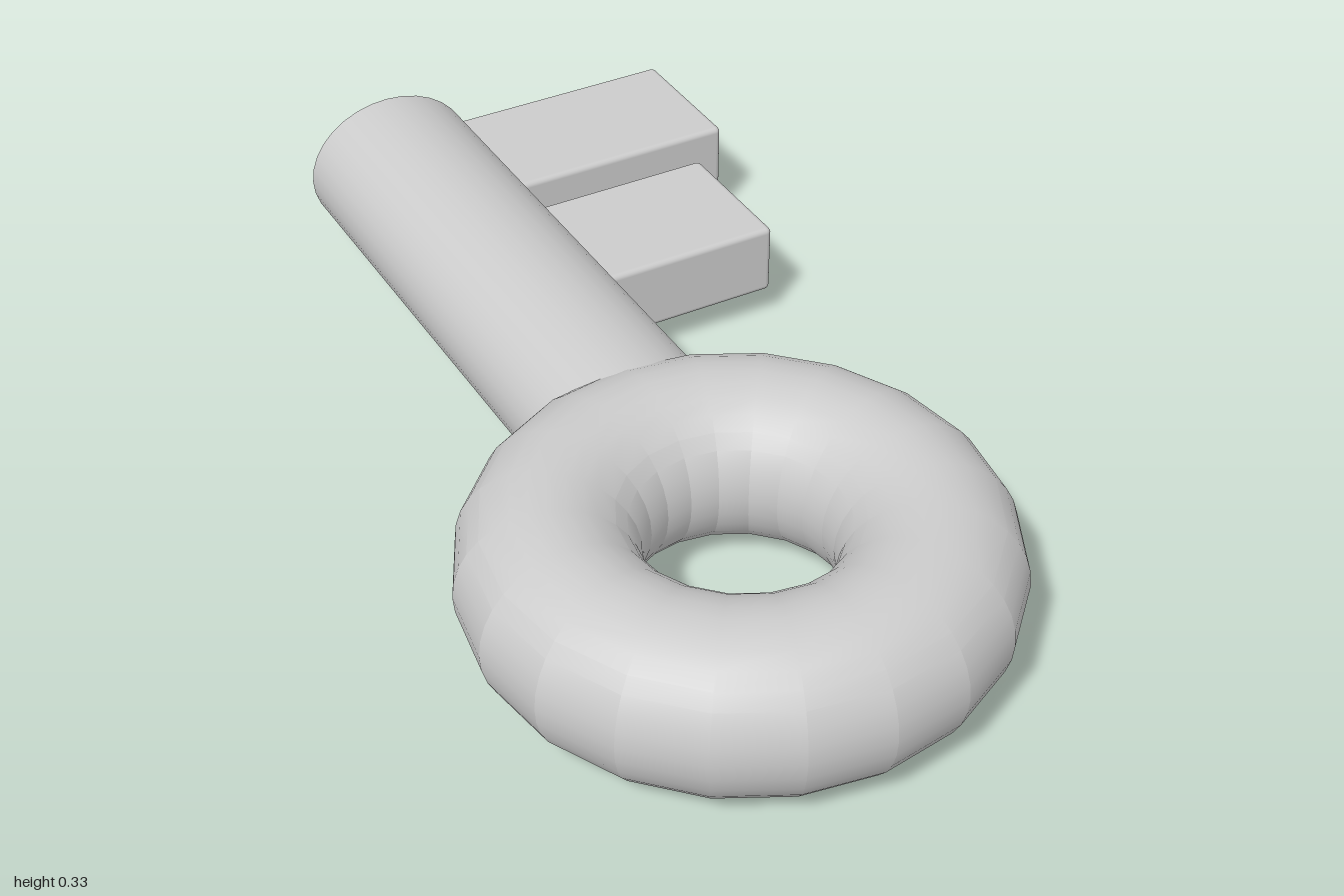
import * as THREE from 'three';
import { toCreasedNormals } from 'three/addons/utils/BufferGeometryUtils.js';
import { RoundedBoxGeometry } from 'three/addons/geometries/RoundedBoxGeometry.js';

export function createModel() {
  const key = new THREE.Group();
  key.name = 'key';
  const material = new THREE.MeshStandardMaterial({ color: 0xcccccc });

  function add(name, geometry, x, y, z) {
    const mesh = new THREE.Mesh(geometry, material);
    mesh.name = name;
    mesh.position.set(x, y, z);
    key.add(mesh);
  }

  // Ring handle: 20 sides around, faintly creased where it bends most
  const ring = new THREE.TorusGeometry(0.335, 0.167, 32, 20).rotateX(Math.PI / 2);
  add('ringHandle', toCreasedNormals(ring, 0.27), -0.08, 0.168, 0.498);

  // Slightly flattened shaft, ending inside the ring
  const shaftLength = 1.14;
  const shaft = new THREE.CylinderGeometry(1, 1, shaftLength, 32)
    .rotateX(Math.PI / 2)
    .scale(0.18, 0.152, 1);
  add('shaft', shaft, -0.067, 0.165, -1 + shaftLength / 2);

  // Two teeth, rooted inside the shaft
  const toothRoot = -0.02;
  for (const [name, tip, z] of [['outerTooth', 0.578, -0.848], ['innerTooth', 0.472, -0.459]]) {
    const width = tip - toothRoot;
    const tooth = new RoundedBoxGeometry(width, 0.15, 0.3, 2, 0.012);
    add(name, tooth, toothRoot + width / 2, 0.144, z);
  }

  return key;
}
